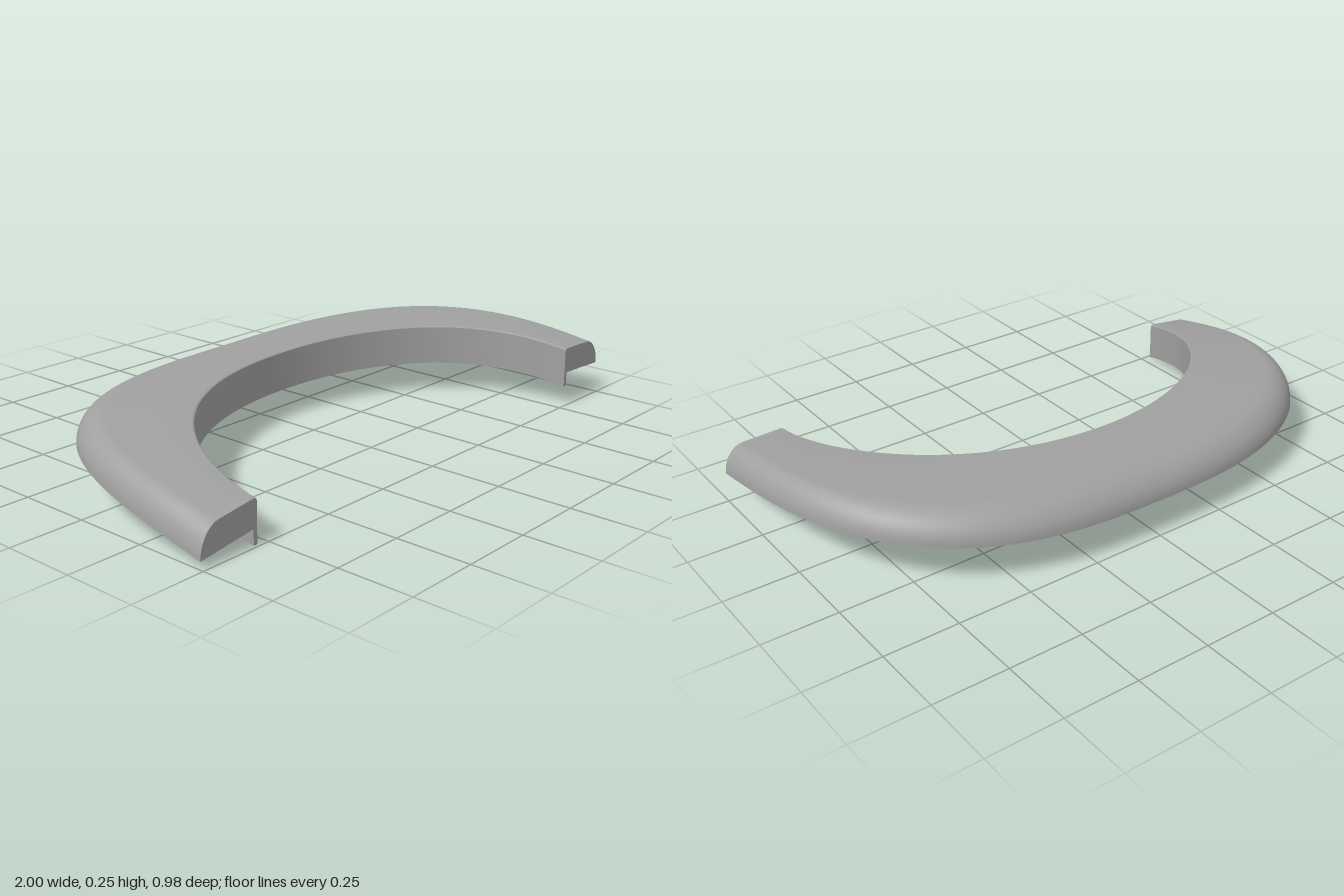
import * as THREE from 'three';

const STEPS = 96;
const THICK = 0.09; // body thickness
const LIP = 0.05;   // how far the inner lip hangs below the body
const END_Z = 0.49;

// height of the warped underside at a plan position
const height = (x, z) =>
  0.147 + (0.026 + 0.034 * z) * x - (0.018 + 0.06 * z) * x * x - 0.0112 * z - 0.1355 * z * z;

// half superellipse in plan, from the left end round the back to the right end
function arch(t, a, b, n) {
  const c = Math.cos(t), s = Math.max(0, Math.sin(t));
  return new THREE.Vector2(
    Math.sign(c) * a * Math.pow(Math.abs(c), 2 / n),
    END_Z - b * Math.pow(s, 2 / n)
  );
}

// cross-section as [distance inward, height], split into smooth runs at sharp edges
function sectionRuns(width, r) {
  const top = [];
  for (let k = 0; k <= 10; k++) {
    const a = (k / 10) * Math.PI / 2;
    top.push([r * (1 - Math.cos(a)), THICK * Math.sin(a)]);
  }
  top.push([r + (width - r) * 0.5, THICK], [width - 0.008, THICK], [width, THICK - 0.006]);
  const lip = width - 0.014;
  return [
    top,
    [[width, THICK - 0.006], [width, -LIP]],
    [[width, -LIP], [lip, -LIP]],
    [[lip, -LIP], [lip, 0]],
    [[lip, 0], [lip * 0.5, 0], [0, 0]],
  ];
}

// all section runs at one station, placed in space
function station(i) {
  const t = (i / STEPS) * Math.PI;
  const outer = arch(t, 1, 0.982, 2.8);
  const inner = arch(t, 0.785, 0.655, 2.08);
  const dir = inner.clone().sub(outer);
  const width = dir.length();
  dir.normalize();
  const runs = sectionRuns(width, 0.07 + 0.04 * Math.sin(t));
  const place = ([d, y]) => {
    const x = outer.x + dir.x * d, z = outer.y + dir.y * d;
    return new THREE.Vector3(x, height(x, z) + y, z);
  };
  return { runs, points: runs.map(run => run.map(place)) };
}

function geometryFrom(points, index) {
  const g = new THREE.BufferGeometry().setFromPoints(points);
  g.setIndex(index);
  g.computeVertexNormals();
  return g;
}

// one smooth strip swept along the arch
function strip(stations, run) {
  const n = stations[0].points[run].length, index = [];
  for (let i = 0; i < STEPS; i++) {
    for (let j = 0; j < n - 1; j++) {
      const a = i * n + j, b = a + 1, c = a + n, d = c + 1;
      index.push(a, c, b, b, c, d);
    }
  }
  return geometryFrom(stations.flatMap(s => s.points[run]), index);
}

// flat end face
function cap(st, flip) {
  const open = list => list.flatMap(run => run.slice(0, -1));
  const contour = open(st.runs).map(([d, y]) => new THREE.Vector2(-d, y));
  const index = THREE.ShapeUtils.triangulateShape(contour, [])
    .flatMap(([a, b, c]) => (flip ? [a, c, b] : [a, b, c]));
  return geometryFrom(open(st.points), index);
}

export function createModel() {
  const group = new THREE.Group();
  group.name = 'curvedArchTrim';
  const grey = new THREE.MeshStandardMaterial({ color: 0xa0a0a0 });
  grey.name = 'mid grey';
  const add = (name, geometry) => {
    const mesh = new THREE.Mesh(geometry, grey);
    mesh.name = name;
    group.add(mesh);
  };

  const stations = Array.from({ length: STEPS + 1 }, (_, i) => station(i));
  ['roundedTop', 'innerWall', 'lipEdge', 'lipBack', 'underside']
    .forEach((name, run) => add(name, strip(stations, run)));
  add('leftEnd', cap(stations[0], false));
  add('rightEnd', cap(stations[STEPS], true));
  return group;
}
